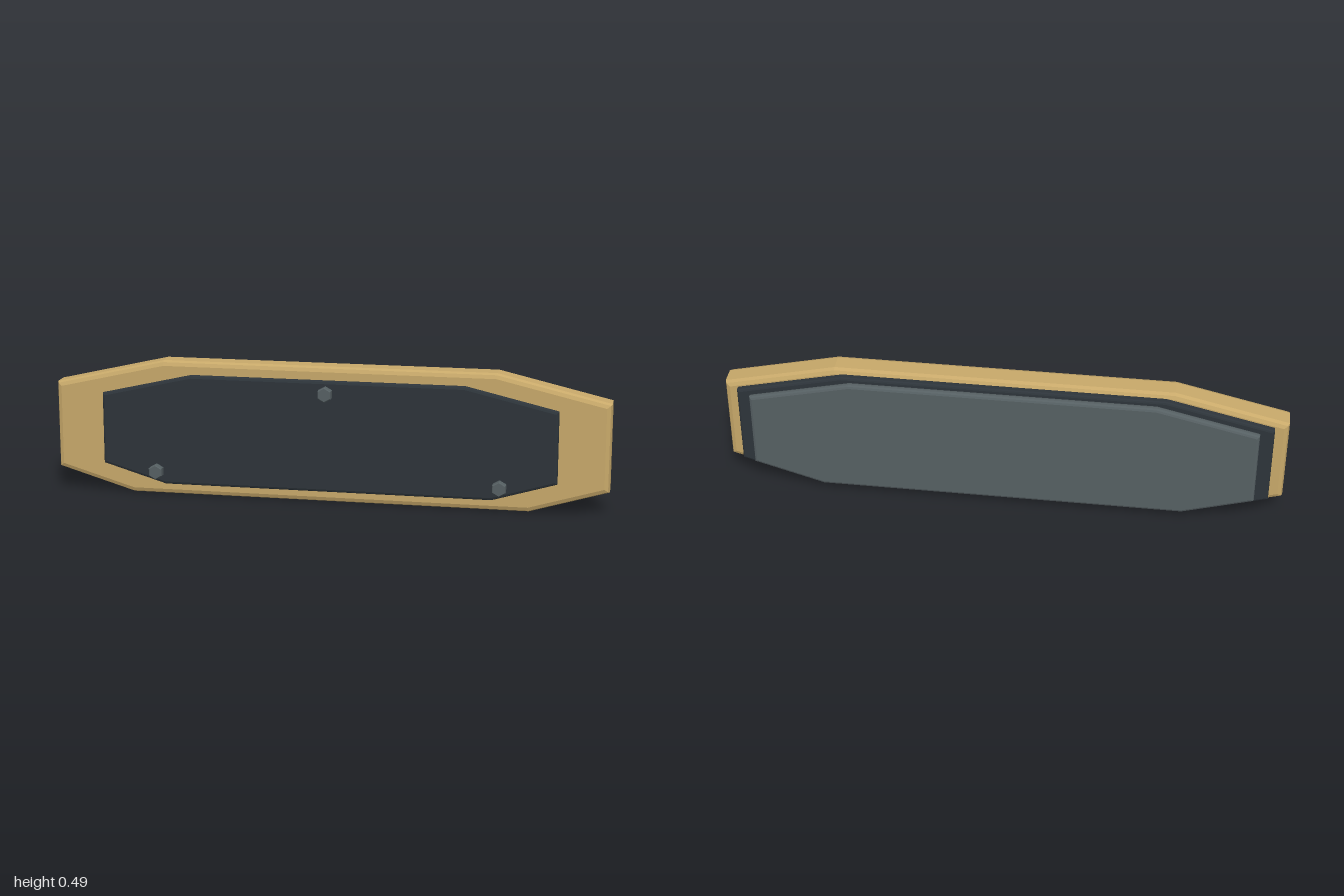
import * as THREE from 'three';

const CENTRE_Y = 0.2465;

// Long eight-sided outline, centred on the origin
const OUTLINE = [
  [-0.72, -0.2465], [0.72, -0.2465], [1, -0.163], [1, 0.1535],
  [0.6, 0.2465], [-0.6, 0.2465], [-1, 0.1535], [-1, -0.163],
];

// Bevelled slab whose outer silhouette is exactly the given points
function slab(points, back, front, bevel, segments) {
  const shape = new THREE.Shape(points.map(([x, y]) => new THREE.Vector2(x, y)));
  const geometry = new THREE.ExtrudeGeometry(shape, {
    depth: front - back - 2 * bevel,
    bevelEnabled: true,
    bevelThickness: bevel,
    bevelSize: bevel,
    bevelOffset: -bevel,
    bevelSegments: segments,
  });
  return geometry.translate(0, 0, back + bevel);
}

export function createModel() {
  const model = new THREE.Group();
  model.name = 'layeredPlaque';

  const material = (name, color) => {
    const m = new THREE.MeshStandardMaterial({ color });
    m.name = name;
    return m;
  };
  const gold = material('gold', 0xc8a96a);
  const charcoal = material('charcoal', 0x2d343a);
  const steel = material('steelGrey', 0x566063);

  const add = (name, geometry, mat, x, y) => {
    const mesh = new THREE.Mesh(geometry, mat);
    mesh.name = name;
    mesh.position.set(x, y, 0);
    model.add(mesh);
  };

  // Stacked plates: name, outline scale, back z, front z, bevel, material
  const plates = [
    ['body', 1, -0.048, 0.048, 0.018, gold],
    ['frontPanel', 0.82, 0.049, 0.078, 0.01, charcoal],
    ['backSpacer', 0.95, -0.078, -0.048, 0.008, charcoal],
    ['backPlate', 0.9, -0.107, -0.078, 0.01, steel],
  ];
  for (const [name, s, back, front, bevel, mat] of plates) {
    const points = OUTLINE.map(([x, y]) => [x * s, y * s]);
    add(name, slab(points, back, front, bevel, 2), mat, 0, CENTRE_Y);
  }

  // Hexagonal bolts standing on the front panel
  const hexagon = Array.from({ length: 6 }, (_, i) => {
    const a = Math.PI / 6 + (i * Math.PI) / 3;
    return [0.0275 * Math.cos(a), 0.0275 * Math.sin(a)];
  });
  const bolt = slab(hexagon, 0.078, 0.108, 0.003, 1);
  add('topBolt', bolt, steel, 0, 0.405);
  add('leftBolt', bolt, steel, 0.62, 0.0945);
  add('rightBolt', bolt, steel, -0.62, 0.0945);

  return model;
}
